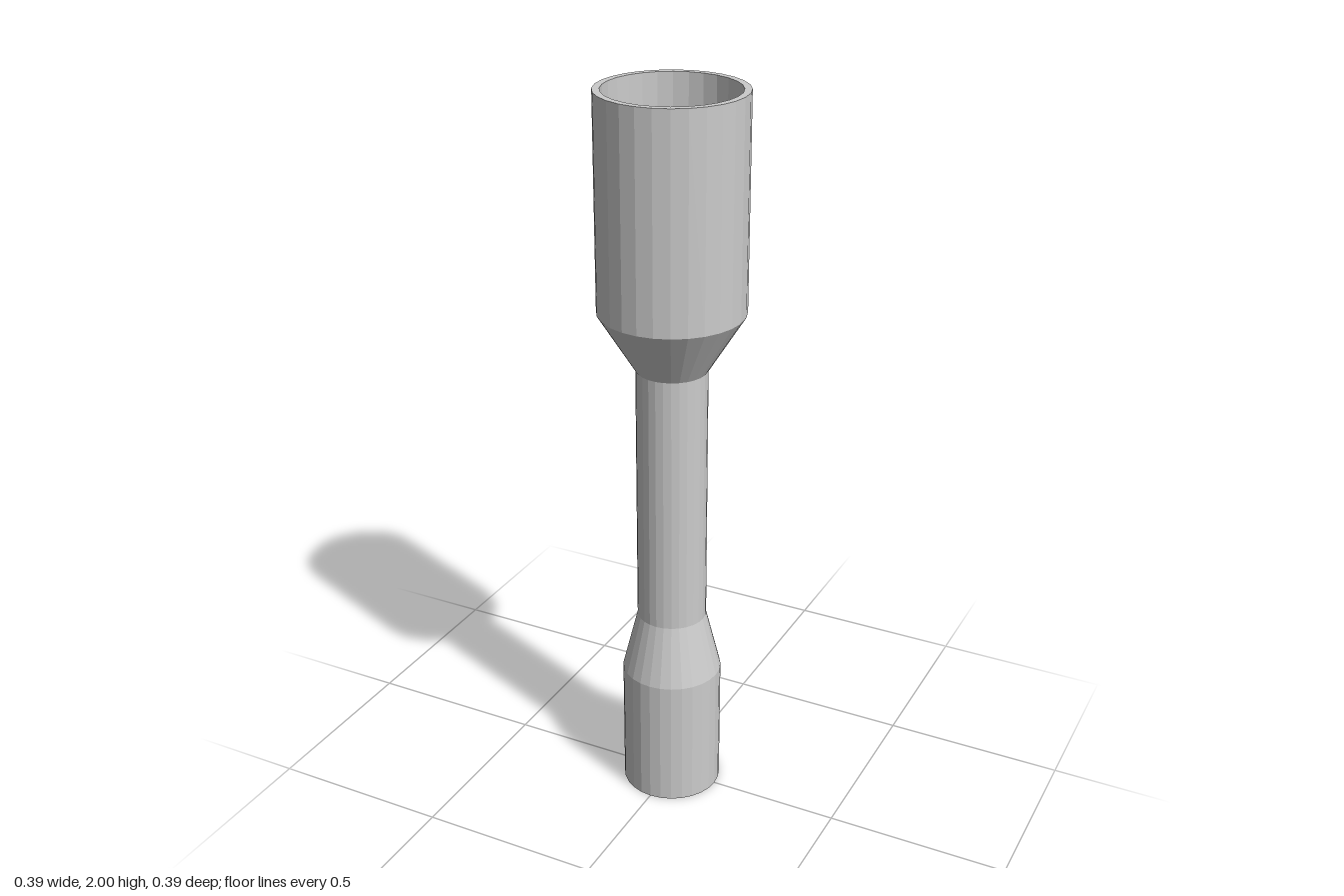
import * as THREE from 'three';

const SIDES = 28;

export function createModel() {
  const model = new THREE.Group();
  model.name = 'reducerPipe';
  const material = new THREE.MeshStandardMaterial({ color: 0xcccccc, flatShading: true });

  // Profiles run up the outside and down the inside, as [radius, height]
  function addRevolved(name, profile) {
    const points = profile.map(([r, y]) => new THREE.Vector2(r, y));
    const mesh = new THREE.Mesh(new THREE.LatheGeometry(points, SIDES), material);
    mesh.name = name;
    model.add(mesh);
  }

  const neck = 0.095, bore = 0.082, lowY = 0.54, highY = 1.27;

  // Wide socket with a funnel that narrows to the neck
  addRevolved('upperSocket', [
    [neck, highY], [0.194, 1.43], [0.194, 2], [0.175, 2], [0.175, 1.43], [neck, highY],
  ]);

  // Straight hollow neck; its end rings form ledges inside the sockets
  addRevolved('neckTube', [
    [neck, lowY], [neck, highY], [bore, highY], [bore, lowY], [neck, lowY],
  ]);

  // Smaller socket at the base
  addRevolved('lowerSocket', [
    [0.121, 0], [0.137, 0], [0.137, 0.37], [neck, lowY], [0.121, 0.37], [0.121, 0],
  ]);

  return model;
}
